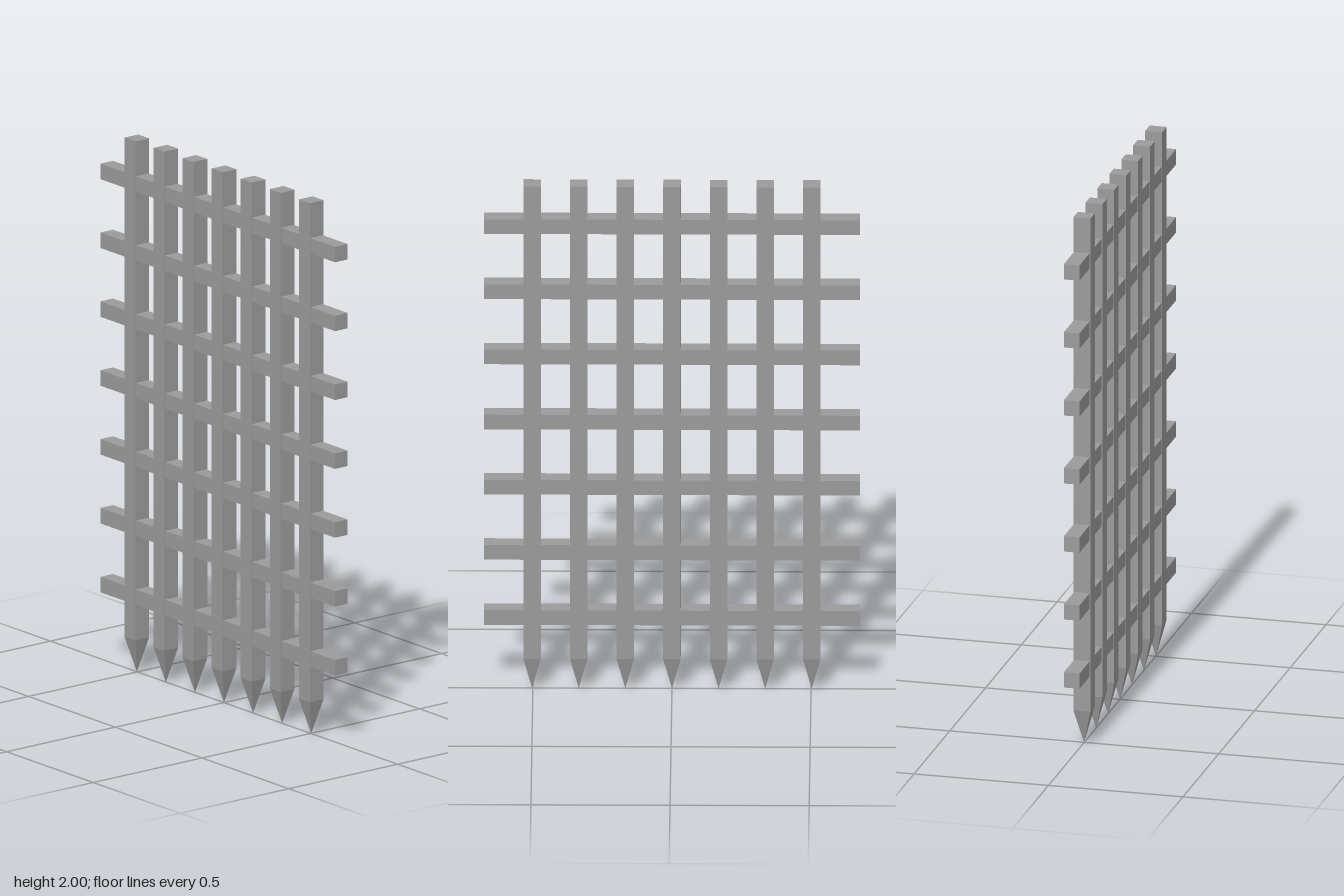
import * as THREE from 'three';

export function createModel() {
  const group = new THREE.Group();
  group.name = 'portcullis';
  const material = new THREE.MeshStandardMaterial({ color: 0x9b9b9b, flatShading: true });

  const count = 7;
  const barWidth = 0.063, railWidth = 0.058;
  const spikeHeight = 0.13, height = 2;

  const add = (parent, name, geometry, x, y) => {
    const mesh = new THREE.Mesh(geometry, material);
    mesh.name = name;
    mesh.position.set(x, y, 0);
    parent.add(mesh);
  };

  // Upright bar and its four-sided spike, pointing down
  const barGeometry = new THREE.BoxGeometry(barWidth, height - spikeHeight, barWidth);
  const spikeGeometry = new THREE.ConeGeometry(barWidth / Math.SQRT2, spikeHeight, 4, 1, true);
  spikeGeometry.rotateY(Math.PI / 4).rotateX(Math.PI);

  // Slightly thinner crossbar
  const railGeometry = new THREE.BoxGeometry(1.352, railWidth, railWidth);

  for (let i = 0; i < count; i++) {
    const upright = new THREE.Group();
    upright.name = `upright${i + 1}`;
    upright.position.x = (i - (count - 1) / 2) * 0.1675;
    add(upright, 'bar', barGeometry, 0, (height + spikeHeight) / 2);
    add(upright, 'spike', spikeGeometry, 0, spikeHeight / 2);
    group.add(upright);

    add(group, `crossbar${i + 1}`, railGeometry, 0, 0.292 + i * 0.258);
  }
  return group;
}
